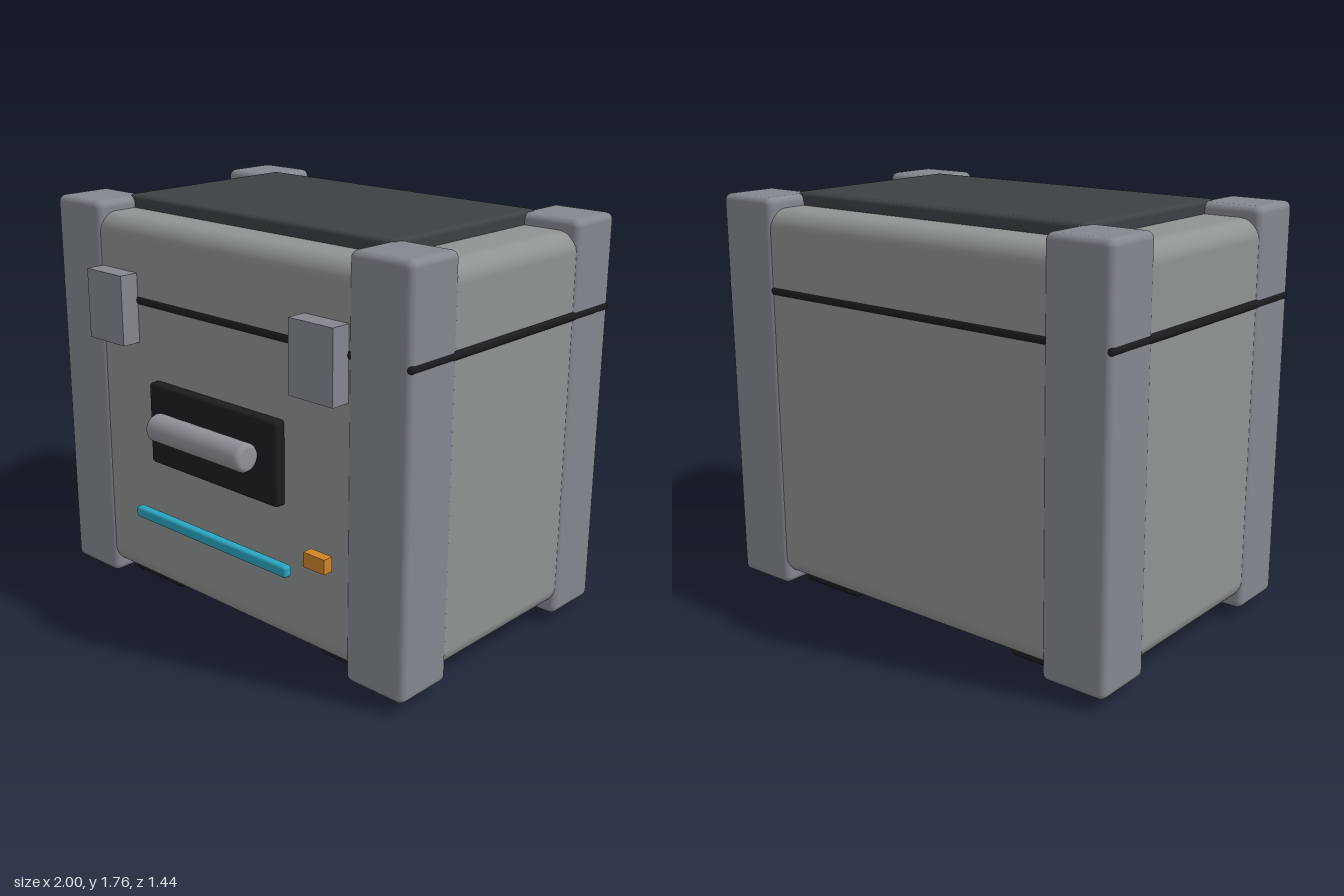
import * as THREE from 'three';
import { RoundedBoxGeometry } from 'three/addons/geometries/RoundedBoxGeometry.js';

const mat = (color) => new THREE.MeshStandardMaterial({ color });

export function createModel() {
  const model = new THREE.Group();
  const shell = mat(0x8f9492), post = mat(0x84888f), panel = mat(0x3c4144);
  const rubber = mat(0x1a1d1f), metal = mat(0x92929a), cyan = mat(0x2aa5c0), orange = mat(0xd08428);

  // Box from its [min, max] on each axis; radius 0 gives sharp edges
  function box(name, material, [x0, x1], [y0, y1], [z0, z1], radius = 0) {
    const size = [x1 - x0, y1 - y0, z1 - z0];
    const geometry = radius
      ? new RoundedBoxGeometry(...size, 4, radius)
      : new THREE.BoxGeometry(...size);
    const mesh = new THREE.Mesh(geometry, material);
    mesh.position.set((x0 + x1) / 2, (y0 + y1) / 2, (z0 + z1) / 2);
    mesh.name = name;
    model.add(mesh);
    return mesh;
  }
  // Same range on the left (+1) or right (-1) side
  const side = (s, a, b) => (s > 0 ? [a, b] : [-b, -a]);

  // Case, lid seam and top panel
  box('caseBody', shell, [-0.99, 0.99], [0.09, 1.71], [-0.713, 0.56], 0.08);
  box('lidSeam', rubber, [-1, 1], [1.35, 1.39], [-0.718, 0.566], 0.018);
  box('topPanel', panel, [-0.747, 0.747], [1.69, 1.765], [-0.53, 0.373], 0.02);

  // Corner posts, feet and latches
  for (const s of [1, -1]) {
    const label = s > 0 ? 'left' : 'right';
    box(label + 'FrontPost', post, side(s, 0.705, 0.996), [0.045, 1.757], [0.295, 0.57], 0.03);
    box(label + 'BackPost', post, side(s, 0.705, 0.996), [0.045, 1.757], [-0.722, -0.447], 0.03);
    box(label + 'Foot', rubber, side(s, 0.43, 0.757), [0, 0.11], [-0.565, 0.42], 0.02);
    box(label + 'Latch', post, side(s, 0.482, 0.705), [1.187, 1.487], [0.558, 0.645]);
  }

  // Handle plate
  box('handlePlate', rubber, [-0.376, 0.376], [0.688, 1.043], [0.55, 0.607], 0.015);

  // Handle bar: turned profile with softened ends
  const r = 0.06, half = 0.276, bevel = 0.02;
  const profile = [];
  for (const end of [-1, 1]) {
    const arc = [];
    for (let i = 0; i <= 4; i++) {
      const a = (i / 4) * Math.PI / 2;
      arc.push(new THREE.Vector2(r - bevel + bevel * Math.sin(a), end * (half - bevel + bevel * Math.cos(a))));
    }
    if (end > 0) arc.reverse();
    profile.push(...arc);
  }
  profile.unshift(new THREE.Vector2(0, -half));
  profile.push(new THREE.Vector2(0, half));
  const bar = new THREE.Mesh(new THREE.LatheGeometry(profile, 32), metal);
  bar.rotation.z = Math.PI / 2;
  bar.position.set(0, 0.885, 0.66);
  bar.name = 'handleBar';
  model.add(bar);

  // Light strip and indicator
  box('lightStrip', cyan, [-0.453, 0.453], [0.423, 0.471], [0.6, 0.642], 0.012);
  box('indicator', orange, [0.555, 0.665], [0.512, 0.574], [0.6, 0.644]);

  return model;
}
